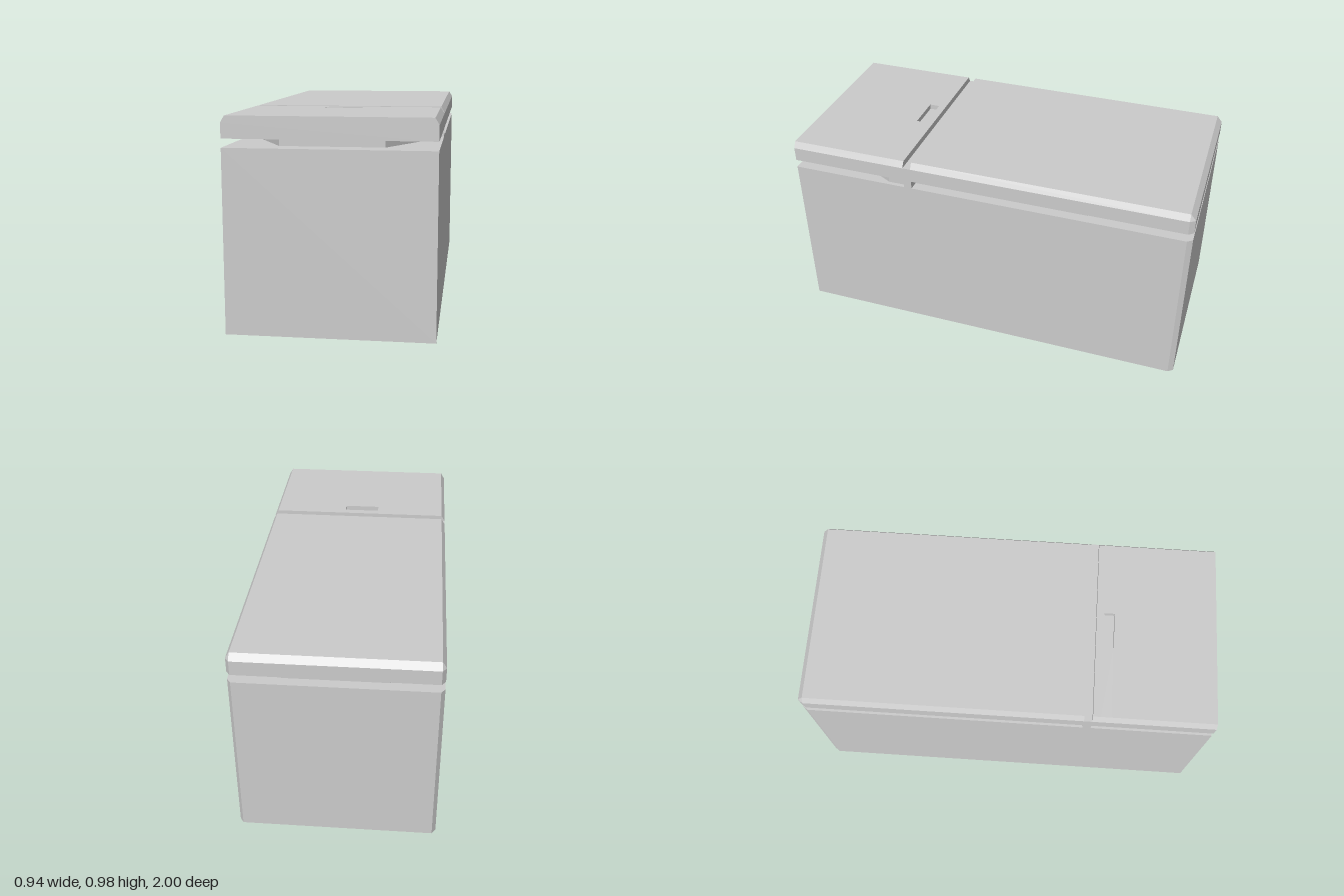
import * as THREE from 'three';
import { ConvexGeometry } from 'three/addons/geometries/ConvexGeometry.js';

const HALF = 0.47, TOP_HALF = 0.452;          // half widths at the sides and on the bevelled top
const BODY_Y = 0.84, LID_Y = 0.88, BEVEL_Y = 0.95, TOP_Y = 0.98;
const GROOVE_BACK = 0.372, GROOVE_FRONT = 0.412;
const BACK_BEVEL = -0.975;

export function createModel() {
  const group = new THREE.Group();
  const material = new THREE.MeshStandardMaterial({ color: 0xcccccc, flatShading: true });

  const add = (name, geometry, parent = group) => {
    const mesh = new THREE.Mesh(geometry, material);
    mesh.name = name;
    parent.add(mesh);
    return mesh;
  };

  // Mirrors a half outline (listed along +x) into a closed outline
  const mirrored = (half) => [...half, ...half.map(([x, v]) => [-x, v]).reverse()];
  const shapeOf = (points) => new THREE.Shape(points.map(([a, b]) => new THREE.Vector2(a, b)));

  // Extrudes a symmetric plan, given as [x, z] pairs, from y0 to y1
  const planPrism = (half, y0, y1) =>
    new THREE.ExtrudeGeometry(shapeOf(mirrored(half).map(([x, z]) => [x, -z])), {
      depth: y1 - y0, bevelEnabled: false,
    }).rotateX(-Math.PI / 2).translate(0, y0, 0);

  // Extrudes an [x, y] section from z0 to z1
  const sectionPrism = (points, z0, z1) =>
    new THREE.ExtrudeGeometry(shapeOf(points), { depth: z1 - z0, bevelEnabled: false })
      .translate(0, 0, z0);

  // Body with cut rear corners
  add('body', planPrism([[HALF, 1], [HALF, BACK_BEVEL], [TOP_HALF, -1]], 0, BODY_Y));

  // Recessed necks between the body and the two lids
  add('frontNeck', planPrism(
    [[0.235, 0.9], [0.45, 0.5], [0.45, GROOVE_FRONT]], BODY_Y, LID_Y));
  add('rearNeck', planPrism(
    [[0.42, GROOVE_BACK], [0.42, -0.5], [0.235, -0.95]], BODY_Y, LID_Y));

  // Full-width divider, whose top is the floor of the groove between the lids
  add('divider', new THREE.BoxGeometry(2 * HALF, BEVEL_Y - BODY_Y, GROOVE_FRONT - GROOVE_BACK)
    .translate(0, (BEVEL_Y + BODY_Y) / 2, (GROOVE_FRONT + GROOVE_BACK) / 2));

  // Rear lid, bevelled along the sides and back
  const corners = [];
  for (const s of [-1, 1]) {
    for (const y of [LID_Y, BEVEL_Y]) {
      corners.push(
        new THREE.Vector3(s * HALF, y, GROOVE_BACK),
        new THREE.Vector3(s * HALF, y, BACK_BEVEL),
        new THREE.Vector3(s * TOP_HALF, y, -1));
    }
    corners.push(
      new THREE.Vector3(s * TOP_HALF, TOP_Y, GROOVE_BACK),
      new THREE.Vector3(s * TOP_HALF, TOP_Y, BACK_BEVEL));
  }
  add('rearLid', new ConvexGeometry(corners));

  // Front lid: bevelled sides, with a handle slot notched into the middle span
  const frontLid = new THREE.Group();
  frontLid.name = 'frontLid';
  group.add(frontLid);
  const right = [[HALF, LID_Y], [HALF, BEVEL_Y], [TOP_HALF, TOP_Y]];
  const left = right.map(([x, y]) => [-x, y]).reverse();
  const floorY = TOP_Y - 0.025;
  const notch = [[0.08, TOP_Y], [0.08, floorY], [-0.1, floorY], [-0.1, TOP_Y]];
  add('lidBehindSlot', sectionPrism([...right, ...left], GROOVE_FRONT, 0.45), frontLid);
  add('handleSlot', sectionPrism([...right, ...notch, ...left], 0.45, 0.5), frontLid);
  add('lidBeforeSlot', sectionPrism([...right, ...left], 0.5, 1), frontLid);

  return group;
}
